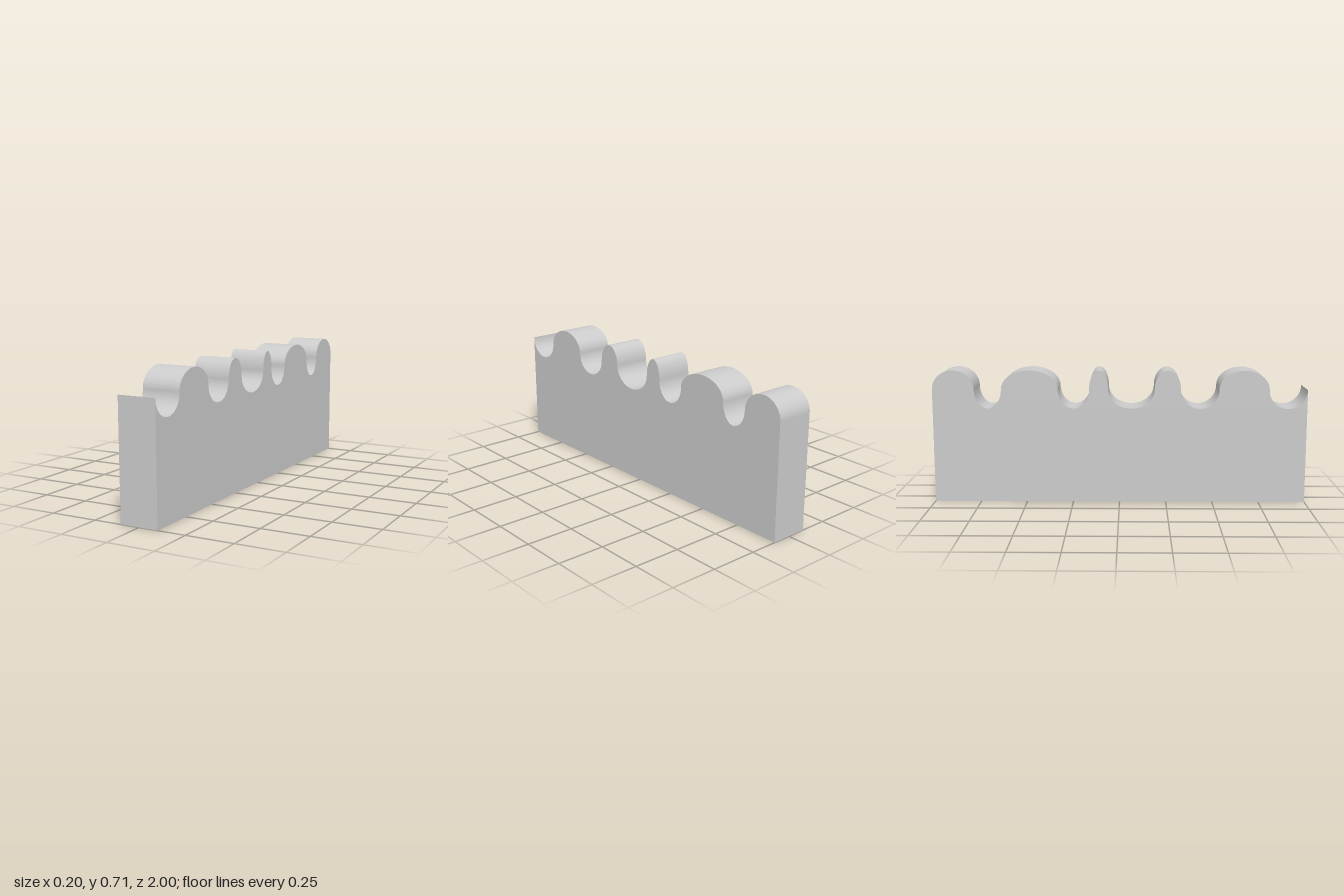
import * as THREE from 'three';

export function createModel() {
  const group = new THREE.Group();
  group.name = 'scallopedPanel';

  const midY = 0.612, waveHeight = 0.102, thickness = 0.204;
  // Points along z where the scalloped edge crosses its middle height
  const crossings = [1, 0.797, 0.531, 0.327, 0.187, -0.061, -0.162, -0.329, -0.632, -0.777, -1];

  // Side outline: straight base, then alternating half-ellipse dips and humps
  const outline = new THREE.Shape();
  outline.moveTo(-1, 0);
  outline.lineTo(1, 0);
  outline.lineTo(1, midY);
  for (let i = 0; i < crossings.length - 1; i++) {
    const a = crossings[i], b = crossings[i + 1];
    const isDip = i % 2 === 0;
    outline.absellipse((a + b) / 2, midY, (a - b) / 2, waveHeight, 0, Math.PI, isDip);
  }
  outline.closePath();

  // Extrude across the thickness and turn the outline to run along z
  const geometry = new THREE.ExtrudeGeometry(outline, {
    depth: thickness, bevelEnabled: false, curveSegments: 24,
  });
  geometry.translate(0, 0, -thickness / 2);
  geometry.rotateY(-Math.PI / 2);

  const panel = new THREE.Mesh(geometry, new THREE.MeshStandardMaterial({ color: 0xcccccc }));
  panel.name = 'wavyTopPanel';
  group.add(panel);
  return group;
}
